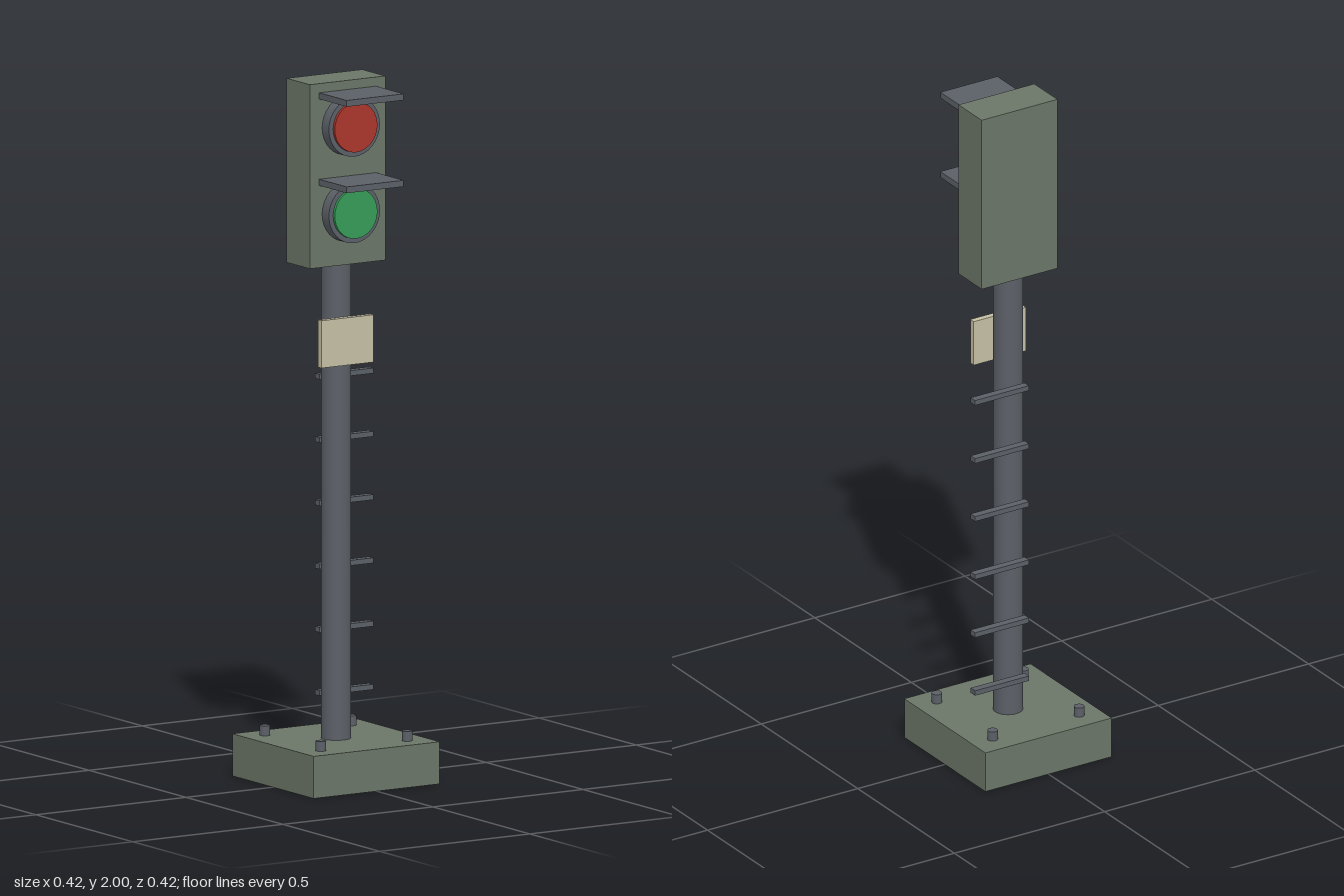
import * as THREE from 'three';

const mat = (name, color) => {
  const m = new THREE.MeshStandardMaterial({ color });
  m.name = name;
  return m;
};

export function createModel() {
  const root = new THREE.Group();
  root.name = 'signalPost';
  const casing = mat('greyGreenPaint', 0x6b7668);
  const steel = mat('darkSteel', 0x5b6067);
  const cream = mat('creamPlate', 0xc6bfa4);
  const red = mat('redLens', 0xab352c);
  const green = mat('greenLens', 0x359c57);

  const add = (name, geometry, material, x, y, z, parent = root) => {
    const mesh = new THREE.Mesh(geometry, material);
    mesh.name = name;
    mesh.position.set(x, y, z);
    parent.add(mesh);
    return mesh;
  };
  const box = (w, h, d) => new THREE.BoxGeometry(w, h, d);
  const disc = (r, d) => new THREE.CylinderGeometry(r, r, d, 32).rotateX(Math.PI / 2);

  // Base block with four anchor bolts
  add('base', box(0.42, 0.12, 0.42), casing, 0, 0.06, 0);
  const boltGeometry = new THREE.CylinderGeometry(0.015, 0.015, 0.04, 16);
  for (const x of [-0.144, 0.144])
    for (const z of [-0.144, 0.144]) add('anchorBolt', boltGeometry, steel, x, 0.128, z);

  // Pole and number plate
  add('pole', new THREE.CylinderGeometry(0.042, 0.042, 1.37, 32), steel, 0, 0.805, 0);
  add('plate', box(0.174, 0.135, 0.018), cream, 0, 1.257, 0.051);

  // Climbing rungs behind the pole, reaching out to the left
  const rungGeometry = box(0.18, 0.015, 0.023);
  for (let i = 0; i < 6; i++) add('rung', rungGeometry, steel, 0.071, 0.24 + i * 0.18, -0.068);

  // Signal head
  add('head', box(0.252, 0.524, 0.12), casing, 0, 1.738, 0);

  // Lamps, each with a housing, a lens and a flat visor
  [['redLamp', 1.873, red], ['greenLamp', 1.627, green]].forEach(([name, y, lens]) => {
    const lamp = new THREE.Group();
    lamp.name = name;
    lamp.position.y = y;
    root.add(lamp);
    add('housing', disc(0.085, 0.05), steel, 0, 0, 0.07, lamp);
    add('lens', disc(0.071, 0.02), lens, 0, 0, 0.094, lamp);
    add('visor', box(0.19, 0.018, 0.145), steel, 0, 0.092, 0.13, lamp);
  });
  return root;
}
